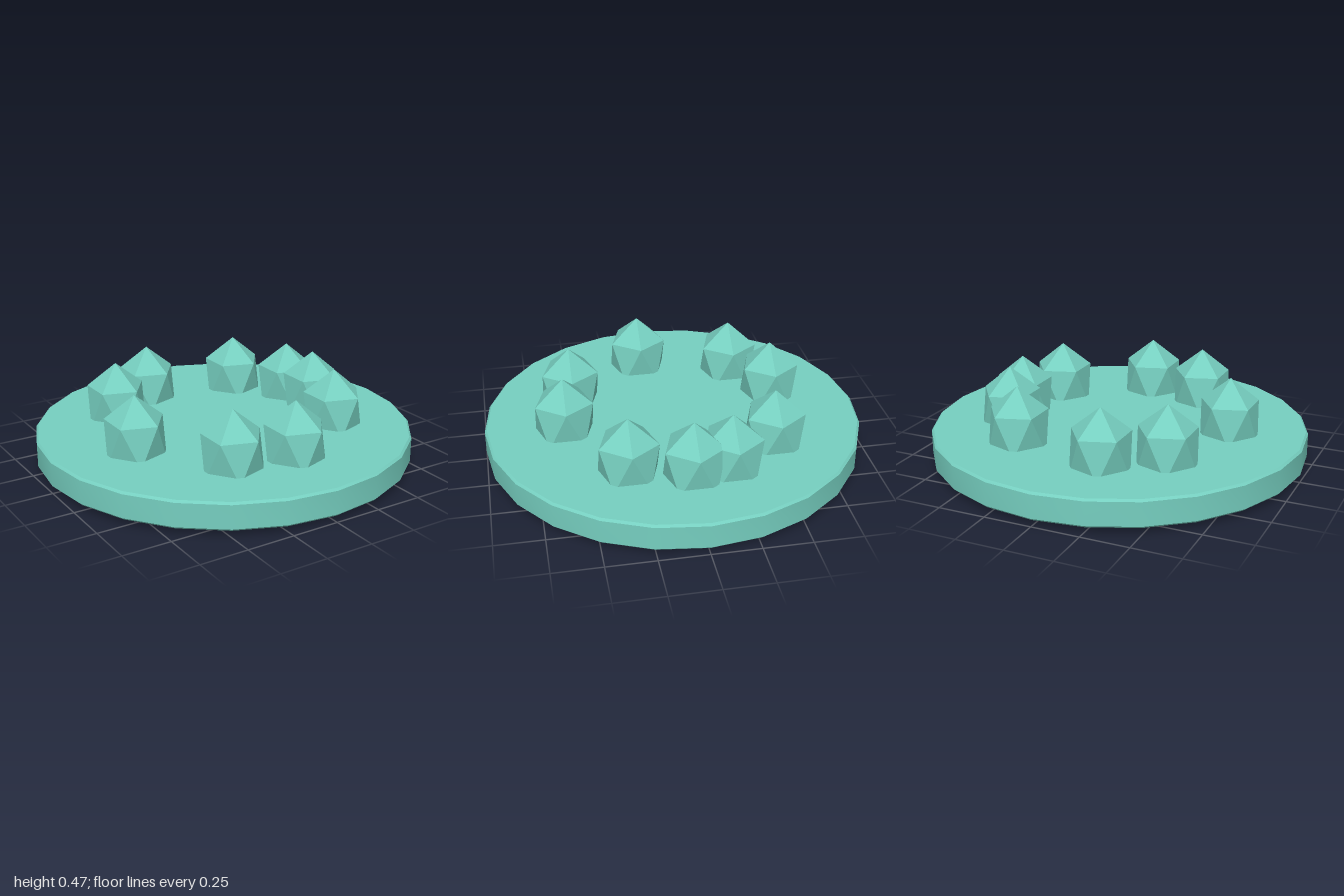
import * as THREE from 'three';
import { toCreasedNormals } from 'three/addons/utils/BufferGeometryUtils.js';

export function createModel() {
  const model = new THREE.Group();
  model.name = 'crystalPlate';
  const teal = new THREE.MeshStandardMaterial({ color: 0x76cfc0 });
  teal.name = 'teal';

  // Round base plate: 24 sides with a small bevel on both rims
  const bottom = 0.03, top = 0.175, bevel = 0.011;
  const profile = [
    [0, bottom], [1 - bevel, bottom], [1, bottom + bevel],
    [1, top - bevel], [1 - bevel, top], [0, top],
  ].map(([r, y]) => new THREE.Vector2(r, y));
  const plate = new THREE.Mesh(
    toCreasedNormals(new THREE.LatheGeometry(profile, 24), 0.6), teal);
  plate.name = 'basePlate';
  model.add(plate);

  // Crystal: icosahedron standing on one point, narrowed sideways
  const radius = 0.235, ringRadius = 0.157;
  const slim = ringRadius / (radius * 2 / Math.sqrt(5));
  const golden = (1 + Math.sqrt(5)) / 2;
  const crystalGeometry = new THREE.IcosahedronGeometry(radius, 0);
  crystalGeometry.rotateZ(-Math.atan(1 / golden));
  crystalGeometry.scale(slim, 1, slim);
  crystalGeometry.computeVertexNormals();

  // Uneven ring of crystals, their lower points piercing the plate
  const spots = [
    [-0.155, -0.57], [-0.435, -0.4], [-0.583, 0.1], [-0.275, 0.52], [0.05, 0.583],
    [0.495, 0.31], [0.585, 0], [0.55, -0.2], [0.357, -0.465],
  ];
  const crystals = new THREE.Group();
  crystals.name = 'crystals';
  spots.forEach(([x, z], i) => {
    const crystal = new THREE.Mesh(crystalGeometry, teal);
    crystal.name = `crystal${i + 1}`;
    crystal.position.set(x, radius, z);
    crystals.add(crystal);
  });
  model.add(crystals);
  return model;
}
